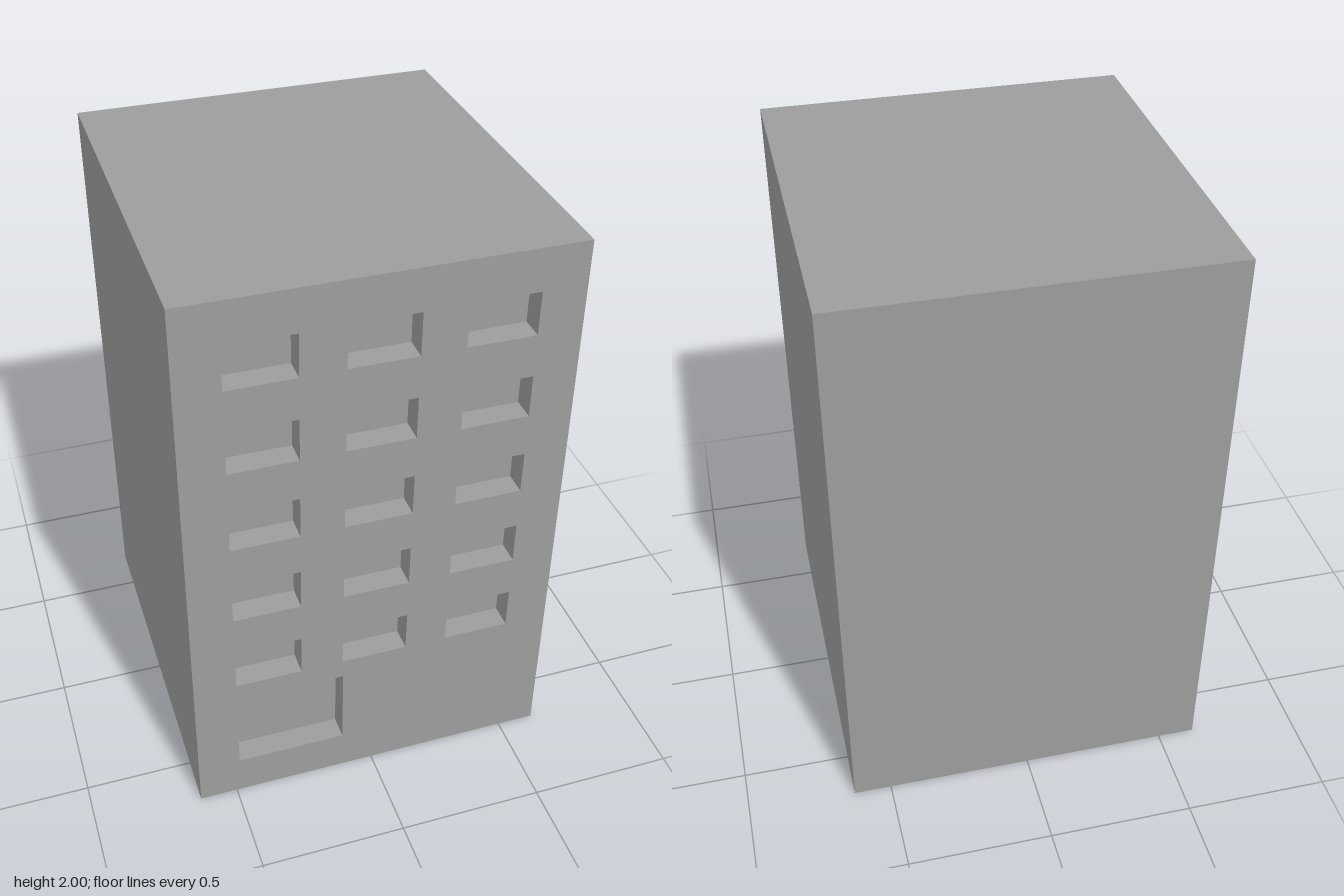
import * as THREE from 'three';

const W = 1.26, H = 2, D = 1.334, RECESS = 0.08;

// Box without its +z face; inward turns the remaining five faces to the inside
function openBox(w, h, d, inward) {
  const geo = new THREE.BoxGeometry(w, h, d);
  const index = Array.from(geo.index.array);
  index.splice(24, 6);
  if (inward) index.reverse();
  geo.setIndex(index);
  geo.clearGroups();
  geo.computeVertexNormals();
  return geo;
}

export function createModel() {
  const group = new THREE.Group();
  const material = new THREE.MeshStandardMaterial({ color: 0x9d9d9d, flatShading: true });
  const add = (name, geo, x, y, z) => {
    const mesh = new THREE.Mesh(geo, material);
    mesh.name = name;
    mesh.position.set(x, y, z);
    group.add(mesh);
  };

  // Openings: a large entrance and a grid of windows
  const openings = [{ name: 'entranceRecess', x: -0.485, y: 0.148, w: 0.374, h: 0.298 }];
  for (let row = 0; row < 5; row++) {
    for (let col = 0; col < 3; col++) {
      openings.push({ name: 'windowRecess', x: -0.485 + col * 0.371, y: 0.518 + row * 0.2965, w: 0.226, h: 0.149 });
    }
  }

  // Side, back, roof and bottom walls
  add('buildingBody', openBox(W, H, D, false), 0, H / 2, 0);

  // Front wall pierced by the openings
  const wall = new THREE.Shape();
  wall.moveTo(-W / 2, 0).lineTo(W / 2, 0).lineTo(W / 2, H).lineTo(-W / 2, H).closePath();
  for (const { x, y, w, h } of openings) {
    const hole = new THREE.Path();
    hole.moveTo(x, y).lineTo(x, y + h).lineTo(x + w, y + h).lineTo(x + w, y).closePath();
    wall.holes.push(hole);
  }
  add('frontWall', new THREE.ShapeGeometry(wall), 0, 0, D / 2);

  // Shallow niches behind the openings
  for (const { name, x, y, w, h } of openings) {
    add(name, openBox(w, h, RECESS, true), x + w / 2, y + h / 2, D / 2 - RECESS / 2);
  }
  return group;
}
